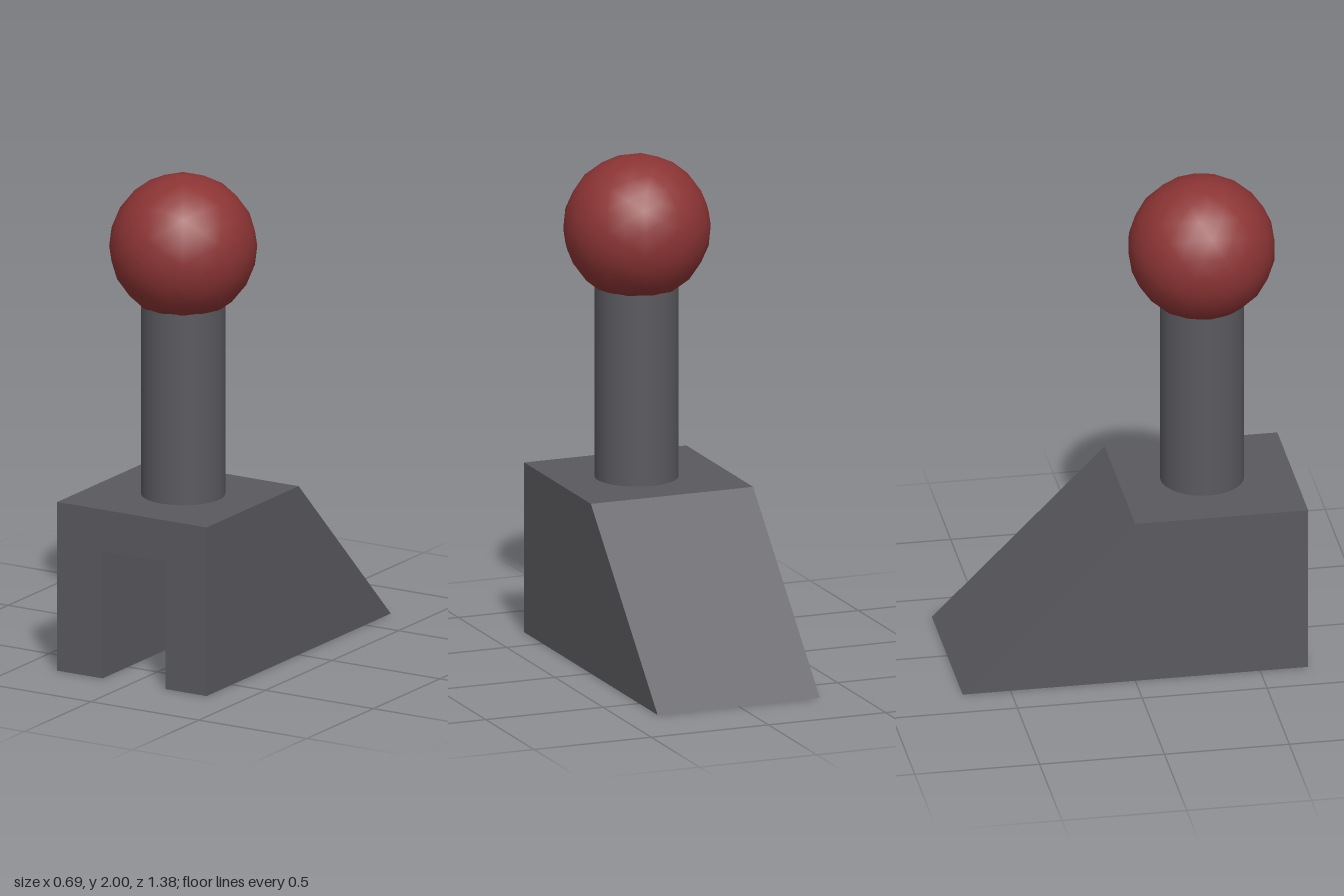
import * as THREE from 'three';

export function createModel() {
  const group = new THREE.Group();
  const grey = new THREE.MeshStandardMaterial({ color: 0x5a595e });
  grey.name = 'dark grey';
  const red = new THREE.MeshStandardMaterial({ color: 0x8c3434 });
  red.name = 'dark red';

  const add = (name, geometry, material, x = 0, y = 0, z = 0) => {
    const mesh = new THREE.Mesh(geometry, material);
    mesh.name = name;
    mesh.position.set(x, y, z);
    group.add(mesh);
    return mesh;
  };
  const extrude = (points, depth) => new THREE.ExtrudeGeometry(
    new THREE.Shape(points.map(([x, y]) => new THREE.Vector2(x, y))),
    { depth, bevelEnabled: false });

  const half = 0.346, size = 0.692;
  const slotRight = -0.136, slotLeft = 0.156, slotTop = 0.522;

  // Front block with a slot open at the front and bottom
  add('slottedBlock', extrude([
    [-half, 0], [slotRight, 0], [slotRight, slotTop], [slotLeft, slotTop],
    [slotLeft, 0], [half, 0], [half, size], [-half, size],
  ], size), grey);

  // Rear wedge: side profile extruded across the width, its face closes the slot
  const wedge = add('rearWedge', extrude([[0, 0], [size, 0], [0, size]], size), grey, -half);
  wedge.rotation.y = Math.PI / 2;

  // Round post, running up into the ball
  const top = 1.6;
  add('post', new THREE.CylinderGeometry(0.166, 0.166, top - size, 32), grey,
    0.015, (top + size) / 2, 0.331);

  // Ball knob
  add('ballKnob', new THREE.IcosahedronGeometry(0.292, 3), red, 0.014, 1.708, 0.329);

  return group;
}
